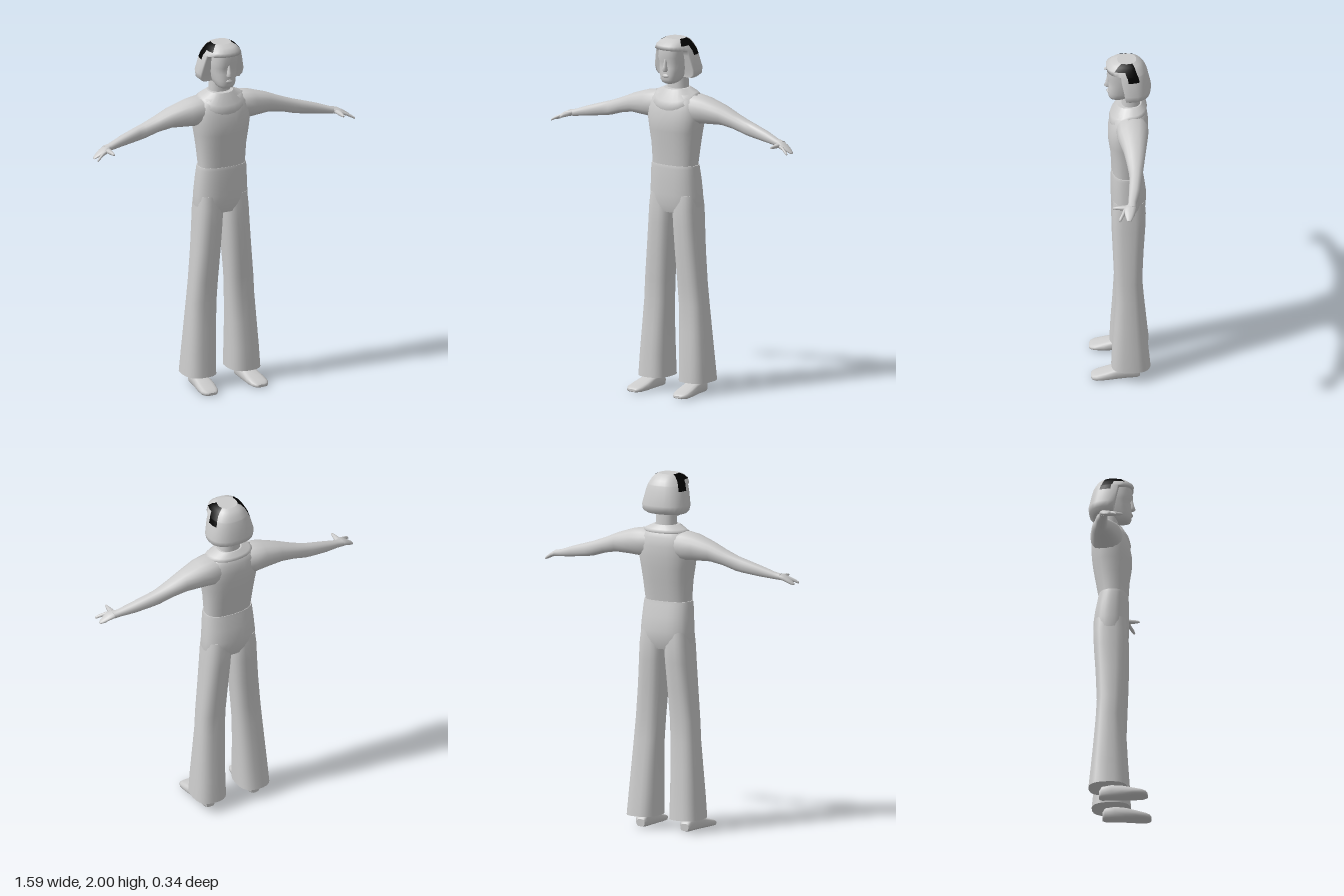
import * as THREE from 'three';

const grey = new THREE.MeshStandardMaterial({ color: 0xcccccc });
grey.name = 'light grey';
const black = new THREE.MeshStandardMaterial({ color: 0x000000 });
black.name = 'black';

// For each loft axis: [axis, u, v] as coordinate indices, so that faces point outwards
const AXES = { x: [0, 2, 1], y: [1, 0, 2], z: [2, 1, 0] };

// Loft through rounded sections [position, uMin, uMax, vMin, vMax], in ascending position.
// warp(point) may move a vertex; paint(row, angle) chooses faces for the second material.
function loft(axis, rings, { n = 20, p = 2.3, warp, paint = () => false } = {}) {
  const [A, U, V] = AXES[axis];
  const pos = [], faces = [[], []];
  const power = (s) => Math.sign(s) * Math.abs(s) ** (2 / p);
  const addRing = ([a, u0, u1, v0, v1]) => {
    const start = pos.length / 3;
    for (let j = 0; j < n; j++) {
      const t = (j / n) * Math.PI * 2, q = [0, 0, 0];
      q[A] = a;
      q[U] = (u0 + u1) / 2 + ((u1 - u0) / 2) * power(Math.cos(t));
      q[V] = (v0 + v1) / 2 + ((v1 - v0) / 2) * power(Math.sin(t));
      if (warp) warp(q);
      pos.push(...q);
    }
    return start;
  };
  rings.forEach(addRing);
  for (let i = 0; i < rings.length - 1; i++) {
    for (let j = 0; j < n; j++) {
      const a = i * n + j, c = i * n + ((j + 1) % n);
      const list = faces[paint(i, ((j + 0.5) / n) * Math.PI * 2) ? 1 : 0];
      list.push(a, a + n, c, c, a + n, c + n);
    }
  }
  // End caps with their own vertices keep the rims sharp
  [rings[0], rings[rings.length - 1]].forEach((ring, end) => {
    const s = addRing(ring);
    for (let j = 1; j < n - 1; j++) {
      faces[0].push(s, ...(end ? [s + j + 1, s + j] : [s + j, s + j + 1]));
    }
  });
  const g = new THREE.BufferGeometry();
  g.setAttribute('position', new THREE.Float32BufferAttribute(pos, 3));
  g.setIndex([...faces[0], ...faces[1]]);
  if (faces[1].length) {
    g.addGroup(0, faces[0].length, 0);
    g.addGroup(faces[0].length, faces[1].length, 1);
  }
  g.computeVertexNormals();
  return g;
}

// Mirrored copy across x = 0 with the winding put right
function mirror(geometry) {
  const g = geometry.clone().scale(-1, 1, 1);
  const index = g.index.array;
  for (let i = 0; i < index.length; i += 3) {
    [index[i], index[i + 1]] = [index[i + 1], index[i]];
  }
  g.computeVertexNormals();
  return g;
}

export function createModel() {
  const model = new THREE.Group();
  model.name = 'standingFigure';
  const add = (name, geometry, material = grey) => {
    const mesh = new THREE.Mesh(geometry, material);
    mesh.name = name;
    model.add(mesh);
  };
  const addPair = (name, geometry) => {
    add(name + 'Left', geometry);
    add(name + 'Right', mirror(geometry));
  };
  // Section symmetric in x: height, half width, back, front
  const sym = (rows) => rows.map(([y, w, back, front]) => [y, -w, w, back, front]);

  // Shirt body
  add('torso', loft('y', sym([
    [1.24, 0.136, -0.105, 0.045], [1.3, 0.137, -0.112, 0.052], [1.4, 0.145, -0.13, 0.058],
    [1.48, 0.156, -0.143, 0.07], [1.54, 0.166, -0.15, 0.072], [1.6, 0.168, -0.152, 0.062],
    [1.65, 0.155, -0.145, 0.048], [1.685, 0.12, -0.13, 0.03], [1.7, 0.07, -0.11, 0.005],
  ]), { n: 28, p: 2.5 }));

  // Wide turned-down collar, dipping at the front
  add('collar', loft('y', sym([
    [1.675, 0.13, -0.14, 0.06], [1.685, 0.138, -0.143, 0.066], [1.695, 0.122, -0.137, 0.058],
    [1.718, 0.072, -0.115, 0.022],
  ]), {
    n: 24,
    warp: (q) => { q[1] -= 0.7 * Math.max(0, q[2] + 0.04) * (1.722 - q[1]) / 0.04; },
  }));

  // Trousers: hips and flared legs
  add('hips', loft('y', sym([
    [1.02, 0.15, -0.122, 0.042], [1.06, 0.156, -0.136, 0.053], [1.12, 0.155, -0.141, 0.056],
    [1.2, 0.15, -0.13, 0.056], [1.27, 0.145, -0.116, 0.055], [1.288, 0.142, -0.113, 0.052],
  ]), { n: 28, p: 2.5 }));
  addPair('trouserLeg', loft('y', [
    [0.07, 0.042, 0.23, -0.16, 0.058], [0.2, 0.042, 0.221, -0.147, 0.052],
    [0.35, 0.041, 0.209, -0.133, 0.042], [0.5, 0.036, 0.197, -0.121, 0.034],
    [0.62, 0.03, 0.188, -0.115, 0.039], [0.8, 0.016, 0.172, -0.123, 0.047],
    [0.95, 0.005, 0.161, -0.133, 0.051], [1.04, 0, 0.156, -0.136, 0.051],
    [1.12, 0, 0.148, -0.128, 0.045],
  ], { n: 22, p: 2.6 }));

  // Feet
  addPair('foot', loft('z', [
    [-0.1, 0.004, 0.045, 0.115, 0.165], [-0.085, 0, 0.07, 0.104, 0.178],
    [-0.03, 0, 0.078, 0.1, 0.186], [0.03, 0, 0.068, 0.096, 0.196],
    [0.09, 0, 0.05, 0.096, 0.205], [0.14, 0, 0.036, 0.104, 0.206],
    [0.162, 0.002, 0.028, 0.116, 0.194], [0.17, 0.006, 0.02, 0.13, 0.175],
  ], { n: 16, p: 3 }));

  // Sleeves tapering to the wrists
  addPair('arm', loft('x', [
    [0.06, -0.13, 0.02, 1.54, 1.68], [0.13, -0.15, 0.03, 1.525, 1.688],
    [0.2, -0.143, 0.022, 1.53, 1.676], [0.3, -0.13, -0.004, 1.534, 1.643],
    [0.38, -0.118, -0.018, 1.52, 1.608], [0.46, -0.106, -0.03, 1.495, 1.578],
    [0.5, -0.1, -0.03, 1.488, 1.566], [0.6, -0.085, -0.024, 1.475, 1.535],
    [0.68, -0.063, -0.017, 1.466, 1.506], [0.72, -0.06, -0.014, 1.463, 1.498],
  ], { n: 16 }));

  // Hands: joined fingers, forefinger and thumb
  addPair('palm', loft('x', [
    [0.69, -0.058, -0.014, 1.466, 1.5], [0.72, -0.06, 0.006, 1.464, 1.496],
    [0.745, -0.053, 0.008, 1.456, 1.484], [0.77, -0.044, 0, 1.444, 1.467],
    [0.787, -0.034, -0.006, 1.438, 1.453], [0.793, -0.028, -0.01, 1.438, 1.446],
  ], { n: 12 }));
  addPair('forefinger', loft('x', [
    [0.72, -0.012, 0.01, 1.465, 1.488], [0.75, 0, 0.02, 1.458, 1.477],
    [0.78, 0.017, 0.035, 1.444, 1.46], [0.793, 0.027, 0.038, 1.438, 1.449],
  ], { n: 10 }));
  addPair('thumb', loft('z', [
    [-0.02, 1.468, 1.492, 0.69, 0.73], [0.015, 1.467, 1.49, 0.695, 0.727],
    [0.045, 1.468, 1.487, 0.7, 0.72], [0.068, 1.471, 1.481, 0.704, 0.714],
  ], { n: 10 }));

  // Neck and head
  add('neck', loft('y', sym([
    [1.67, 0.066, -0.11, 0.005], [1.72, 0.06, -0.108, -0.004], [1.82, 0.056, -0.105, -0.002],
  ])));
  add('head', loft('y', sym([
    [1.75, 0.026, -0.01, 0.052], [1.758, 0.043, -0.03, 0.064], [1.775, 0.056, -0.06, 0.071],
    [1.8, 0.064, -0.1, 0.072], [1.84, 0.072, -0.11, 0.07], [1.872, 0.075, -0.11, 0.066],
    [1.9, 0.077, -0.11, 0.078], [1.95, 0.074, -0.1, 0.074],
  ]), { n: 24, p: 2.5 }));
  add('nose', loft('y', sym([
    [1.822, 0.011, 0.04, 0.084], [1.832, 0.017, 0.04, 0.093], [1.85, 0.012, 0.04, 0.086],
    [1.895, 0.007, 0.04, 0.076],
  ]), { n: 10 }));
  add('lips', loft('y', sym([
    [1.785, 0.016, 0.04, 0.072], [1.794, 0.027, 0.04, 0.079], [1.8, 0.024, 0.04, 0.076],
    [1.808, 0.014, 0.04, 0.073],
  ]), { n: 12 }));

  // Bobbed hair: open around the face below the fringe, with a dark patch on each side
  add('hair', loft('y', sym([
    [1.782, 0.112, -0.14, 0.04], [1.798, 0.131, -0.163, 0.05], [1.83, 0.136, -0.168, 0.06],
    [1.91, 0.118, -0.15, 0.07], [1.938, 0.109, -0.142, 0.072], [1.943, 0.107, -0.14, 0.08],
    [1.967, 0.094, -0.128, 0.083], [1.988, 0.076, -0.11, 0.055], [2, 0.055, -0.085, 0.02],
  ]), {
    n: 24, p: 2.4,
    warp: (q) => {
      if (q[1] < 1.94) q[2] = Math.min(q[2], -0.025 + Math.max(0, q[1] - 1.8) * 0.22);
    },
    paint: (row, t) => Math.abs(Math.cos(t)) > 0.85 && (row >= 6 || (row >= 3 && Math.sin(t) < 0)),
  }), [grey, black]);

  return model;
}
